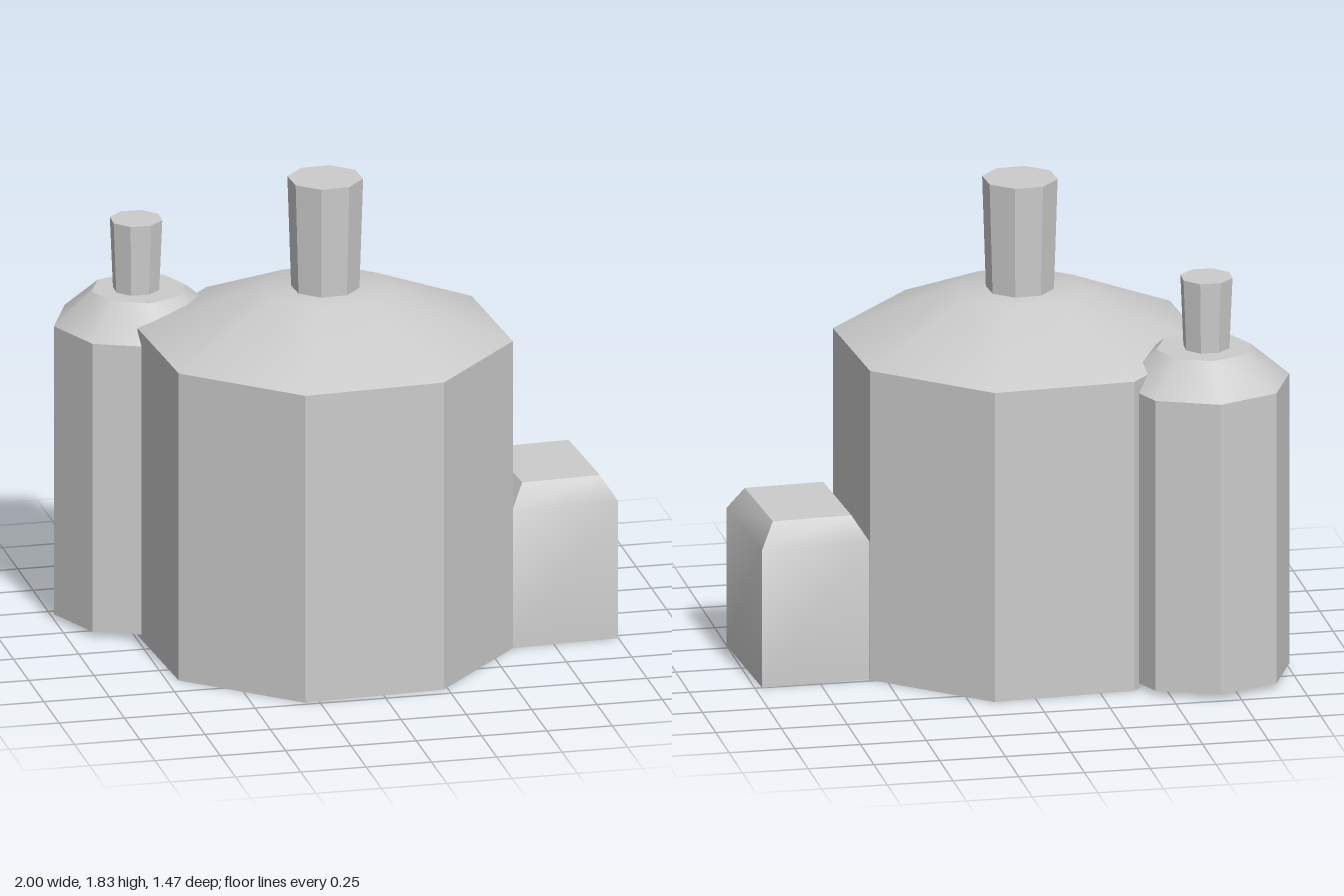
import * as THREE from 'three';
import { toCreasedNormals } from 'three/addons/utils/BufferGeometryUtils.js';

const flat = new THREE.MeshStandardMaterial({ color: 0xcccccc, flatShading: true, side: THREE.DoubleSide });
const smooth = new THREE.MeshStandardMaterial({ color: 0xcccccc, side: THREE.DoubleSide });

function add(parent, name, geometry, material) {
  const mesh = new THREE.Mesh(geometry, material);
  mesh.name = name;
  parent.add(mesh);
  return mesh;
}

// Eight-sided prism between two heights, turned by start radians
function octagon(rTop, rBottom, y0, y1, start, open) {
  return new THREE.CylinderGeometry(rTop, rBottom, y1 - y0, 8, 1, open, start, Math.PI * 2)
    .translate(0, (y0 + y1) / 2, 0);
}

// Eight-sided, smoothly shaded roof from [radius, height] pairs
function roof(profile, start) {
  return new THREE.LatheGeometry(profile.map(([r, y]) => new THREE.Vector2(r, y)), 8, start);
}

// Box with an open bottom and a bevelled top; its inner wall rests on the large tank
function shedGeometry(hw, hd, yWall, yTop, inset) {
  const ring = (y, i) => [[-hw + i, y, hd - i], [hw - i, y, hd - i], [hw - i, y, -hd + i], [-hw + i, y, -hd + i]];
  const rings = [ring(0, 0), ring(yWall, 0), ring(yTop, inset)];
  const pos = [];
  const quad = (a, b, c, d) => pos.push(...a, ...b, ...c, ...a, ...c, ...d);
  for (let level = 0; level < 2; level++) {
    for (let i = 0; i < 4; i++) {
      if (level === 0 && i === 3) continue;
      const j = (i + 1) % 4;
      quad(rings[level][i], rings[level][j], rings[level + 1][j], rings[level + 1][i]);
    }
  }
  quad(...rings[2]);
  const geometry = new THREE.BufferGeometry();
  geometry.setAttribute('position', new THREE.Float32BufferAttribute(pos, 3));
  return toCreasedNormals(geometry, 0.65);
}

export function createModel() {
  const model = new THREE.Group();
  model.name = 'tankBuilding';

  // Large tank with sloping roof and flared chimney
  const large = new THREE.Group();
  large.name = 'largeTank';
  large.position.set(-0.073, 0, 0.07);
  const turn = 0.452;
  add(large, 'largeTankWall', octagon(0.703, 0.703, 0, 1.21, turn, true), flat);
  add(large, 'largeTankRoof', roof([[0.703, 1.21], [0.25, 1.4], [0, 1.4]], turn), smooth);
  add(large, 'largeChimney', octagon(0.142, 0.128, 1.395, 1.83, turn, false), flat);
  model.add(large);

  // Small tank set into the back corner
  const small = new THREE.Group();
  small.name = 'smallTank';
  small.position.set(-0.675, 0, -0.41);
  add(small, 'smallTankWall', octagon(0.325, 0.325, 0.02, 1.155, 0, true), flat);
  add(small, 'smallTankRoof', roof([[0.325, 1.155], [0.18, 1.28]], 0), smooth);
  add(small, 'smallTankRoofTop', roof([[0.18, 1.28], [0, 1.28]], 0), smooth);
  add(small, 'smallChimney', octagon(0.1, 0.088, 1.275, 1.555, 0.35, false), flat)
    .position.x = -0.01;
  model.add(small);

  // Bevelled side shed
  const shed = add(model, 'sideShed', shedGeometry(0.206, 0.265, 0.54, 0.63, 0.055), smooth);
  shed.position.set(0.78, 0, 0.025);
  shed.rotation.y = 0.052;

  return model;
}
